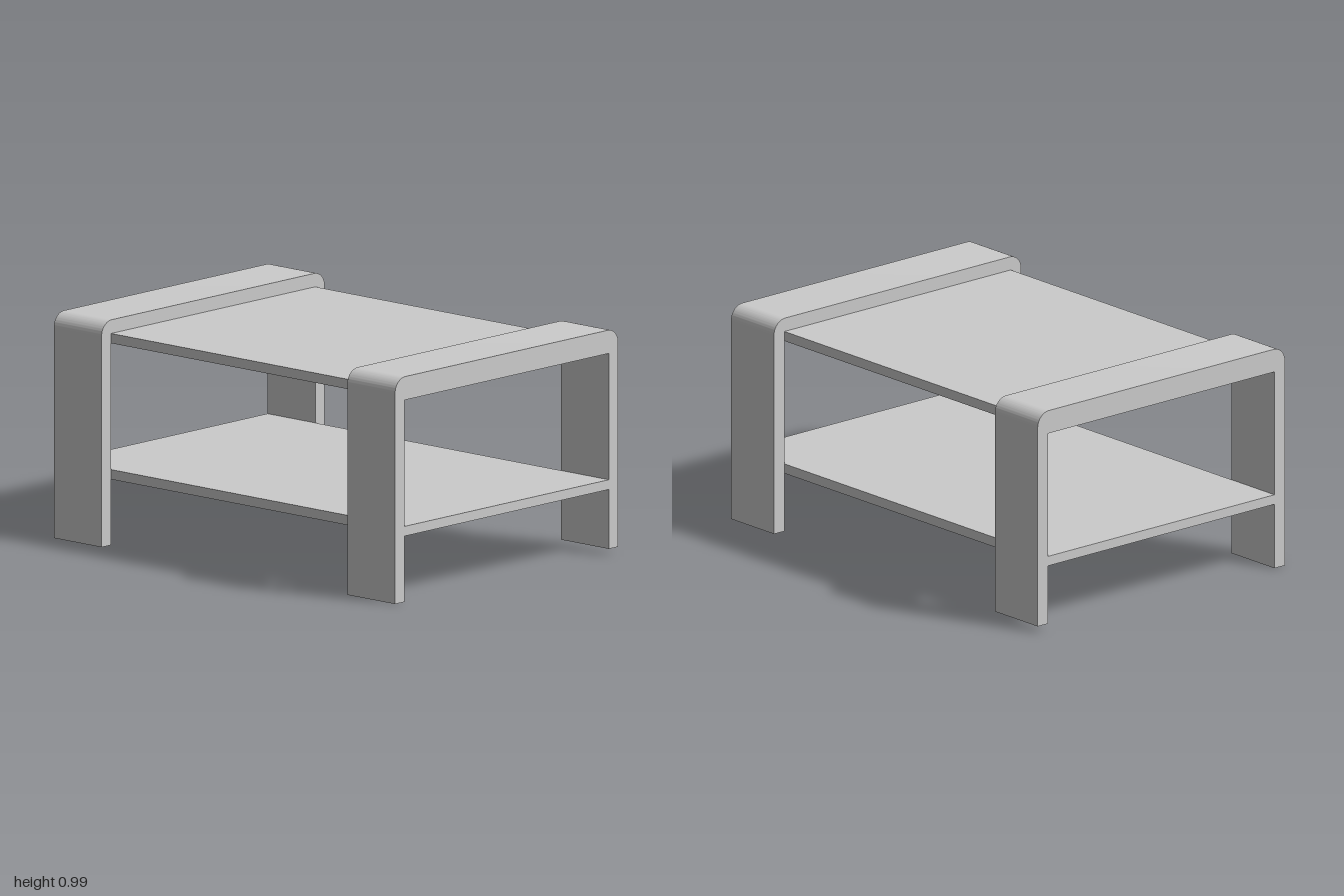
import * as THREE from 'three';
import { toCreasedNormals } from 'three/addons/utils/BufferGeometryUtils.js';

const material = new THREE.MeshStandardMaterial({ color: 0xcccccc });
const W = 0.71, H = 0.993, T = 0.06, R = 0.065; // frame half width, height, thickness, corner radius
const DEPTH = 0.28, SHORT = 0.028; // frame depth, foot height of the shorter +x legs

// Upside-down U with rounded outer corners and square inner ones
function frameGeometry() {
  const s = new THREE.Shape();
  s.moveTo(-W, 0);
  s.lineTo(-W + T, 0);
  s.lineTo(-W + T, H - T);
  s.lineTo(W - T, H - T);
  s.lineTo(W - T, SHORT);
  s.lineTo(W, SHORT);
  s.lineTo(W, H - R);
  s.absarc(W - R, H - R, R, 0, Math.PI / 2, false);
  s.lineTo(-W + R, H);
  s.absarc(-W + R, H - R, R, Math.PI / 2, Math.PI, false);
  s.closePath();
  const g = new THREE.ExtrudeGeometry(s, { depth: DEPTH, bevelEnabled: false, curveSegments: 16 });
  return toCreasedNormals(g, Math.PI / 6);
}

export function createModel() {
  const table = new THREE.Group();
  table.name = 'coffeeTable';
  const add = (name, geometry, y, z) => {
    const mesh = new THREE.Mesh(geometry, material);
    mesh.name = name;
    mesh.position.set(0, y, z);
    table.add(mesh);
  };

  // End frames: legs and top band in one piece
  const frame = frameGeometry();
  add('frontFrame', frame, 0, 1 - DEPTH);
  add('backFrame', frame, 0, -1);

  // Shelves run the full length between the legs
  const shelf = (name, bottom, top) =>
    add(name, new THREE.BoxGeometry(2 * (W - T), top - bottom, 2), (bottom + top) / 2, 0);
  shelf('tableTop', 0.89, H - T);
  shelf('lowerShelf', 0.29, 0.333);

  return table;
}
